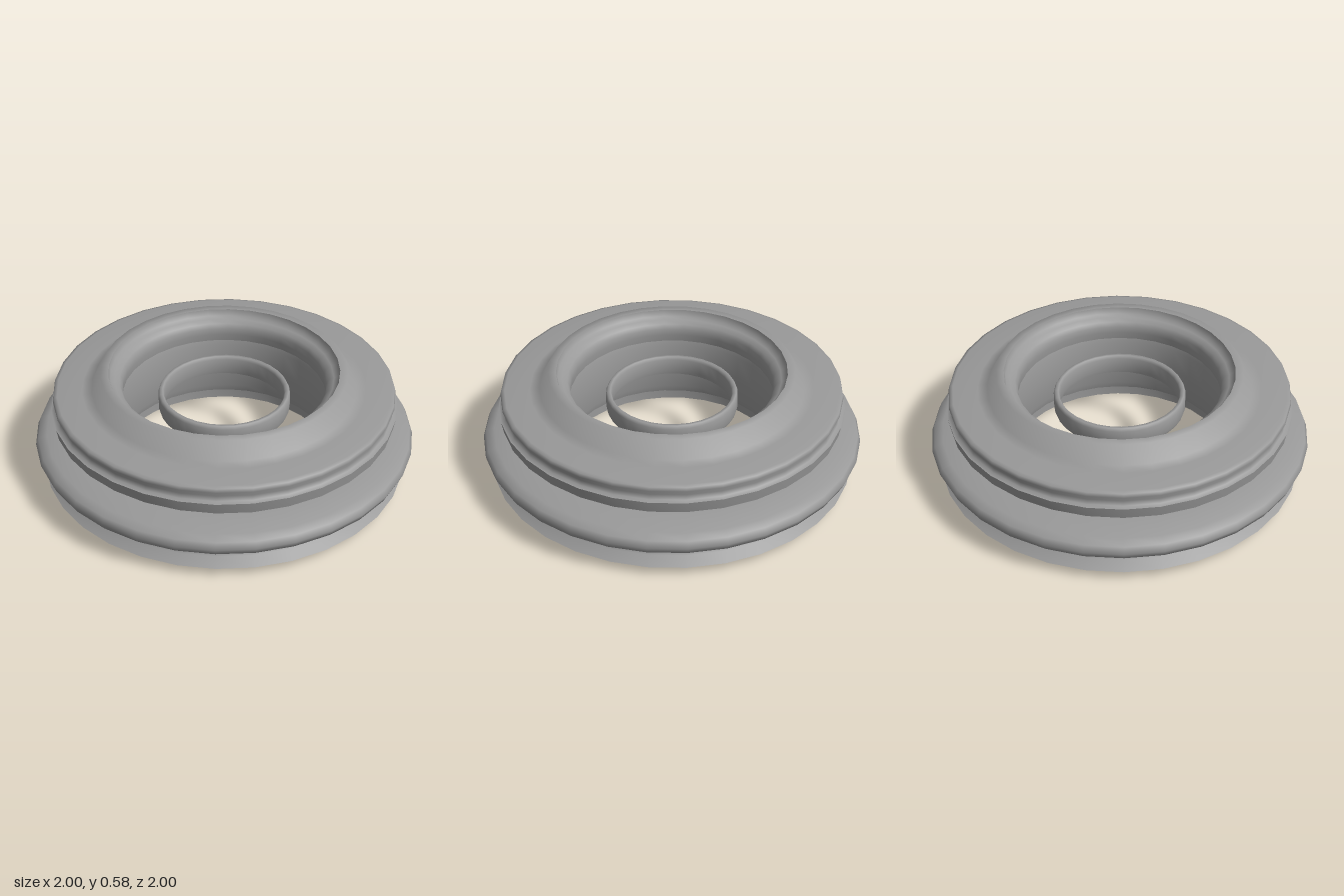
import * as THREE from 'three';
import { toCreasedNormals } from 'three/addons/utils/BufferGeometryUtils.js';

const material = new THREE.MeshStandardMaterial({ color: 0x999999, side: THREE.DoubleSide });

// Turned part from a profile of [radius, height] points, outer side running upward
function turned(name, profile) {
  const points = profile.map(([r, y]) => new THREE.Vector2(r, y));
  const geometry = toCreasedNormals(new THREE.LatheGeometry(points, 32), 1.2);
  const mesh = new THREE.Mesh(geometry, material);
  mesh.name = name;
  return mesh;
}

export function createModel() {
  const group = new THREE.Group();
  group.name = 'flangedRing';

  // Lower flange: shallow conical underside, groove, rounded bead, open at the top
  group.add(turned('lowerFlange', [
    [0.575, 0.06], [0.59, 0.06], [0.59, 0], [0.96, 0.05], [0.91, 0.085], [0.89, 0.115], [0.9, 0.135],
    [0.95, 0.15], [0.985, 0.165], [1, 0.2], [0.985, 0.235], [0.94, 0.25], [0.83, 0.272], [0.8, 0.272],
  ]));

  // Upper flange: notched rim, raised collar with a flat top and a rounded inner lip
  group.add(turned('upperFlange', [
    [0.59, 0.34], [0.895, 0.34], [0.905, 0.4], [0.885, 0.405], [0.878, 0.43], [0.893, 0.46],
    [0.888, 0.48], [0.87, 0.485], [0.74, 0.485], [0.69, 0.492], [0.64, 0.58], [0.6, 0.58], [0.592, 0.545],
    [0.57, 0.535], [0.545, 0.52], [0.532, 0.495], [0.53, 0.46], [0.535, 0.42], [0.575, 0.41],
  ]));

  // Sleeve joining the flanges, its bore gently rounded at both ends
  group.add(turned('sleeve', [
    [0.575, 0.06], [0.588, 0.06], [0.588, 0.41], [0.575, 0.41], [0.563, 0.37], [0.558, 0.24],
    [0.563, 0.1], [0.575, 0.06],
  ]));

  // Separate ring in the middle of the bore
  group.add(turned('innerRing', [
    [0.318, 0.34], [0.34, 0.34], [0.346, 0.36], [0.346, 0.43], [0.338, 0.446], [0.322, 0.446],
    [0.314, 0.43], [0.314, 0.36], [0.318, 0.34],
  ]));

  return group;
}
